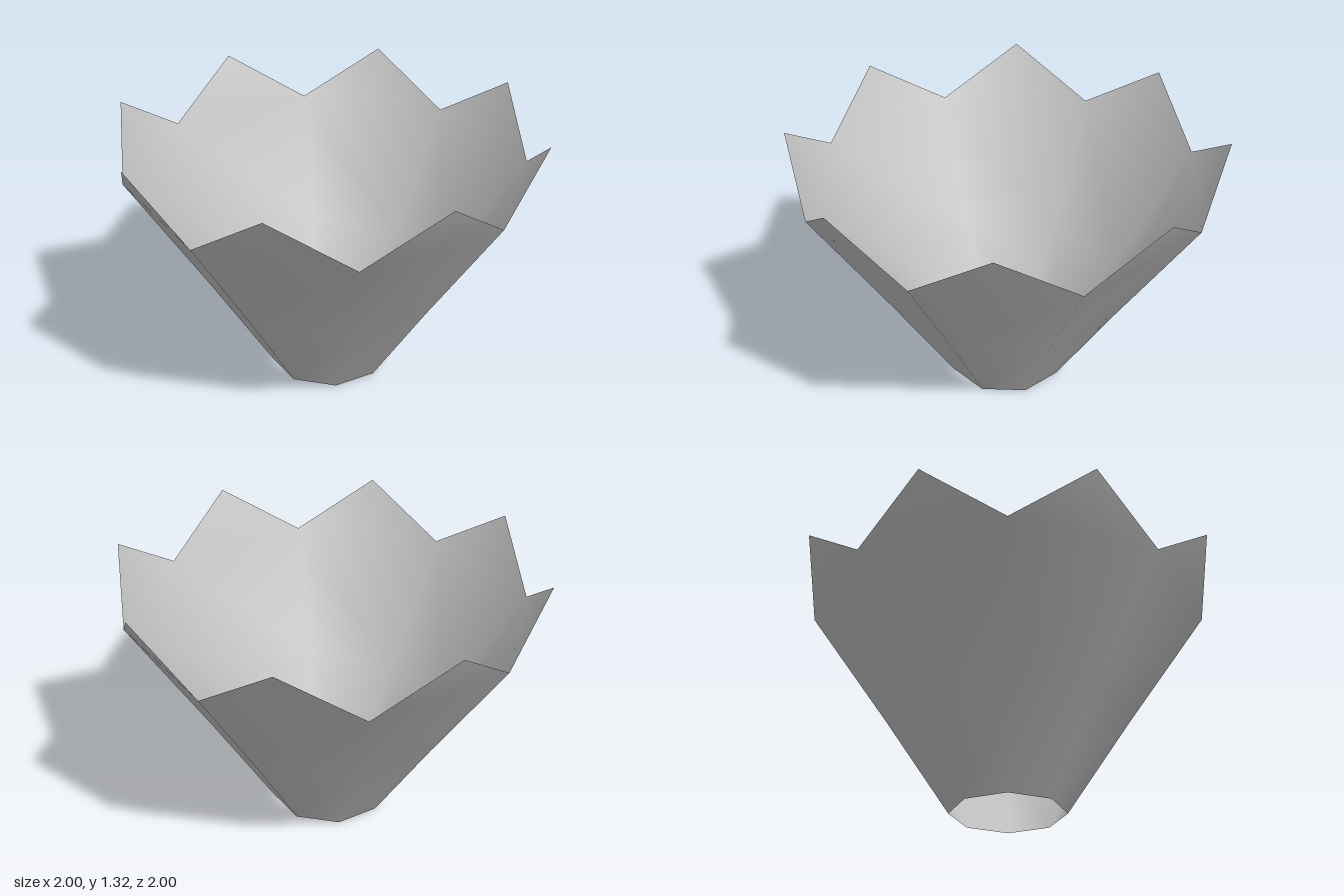
import * as THREE from 'three';

const SIDES = 8;
// Rings of the wall as [radius, height], from the open base to the notches of the rim
const RINGS = [[0.29, 0], [0.605, 0.48], [1, 1.06]];
const PEAK = [1.072, 1.32];

export function createModel() {
  const shellGrey = new THREE.MeshStandardMaterial({ color: 0xbfbfbf, side: THREE.DoubleSide });
  shellGrey.name = 'shellGrey';

  const positions = [];
  const index = [];
  const addRing = ([r, y], turn) => {
    for (let i = 0; i < SIDES; i++) {
      const a = ((i + turn) / SIDES) * Math.PI * 2;
      positions.push(r * Math.sin(a), y, r * Math.cos(a));
    }
  };
  RINGS.forEach((ring) => addRing(ring, 0));
  addRing(PEAK, 0.5);

  const last = RINGS.length - 1;
  for (let i = 0; i < SIDES; i++) {
    const j = (i + 1) % SIDES;
    // Flaring wall panels
    for (let k = 0; k < last; k++) {
      const lo = k * SIDES, hi = lo + SIDES;
      index.push(lo + i, lo + j, hi + j, lo + i, hi + j, hi + i);
    }
    // Pointed tooth on each panel
    const rim = last * SIDES;
    index.push(rim + i, rim + j, rim + SIDES + i);
  }

  const geometry = new THREE.BufferGeometry();
  geometry.setAttribute('position', new THREE.Float32BufferAttribute(positions, 3));
  geometry.setIndex(index);
  geometry.computeVertexNormals();

  const shell = new THREE.Mesh(geometry, shellGrey);
  shell.name = 'zigzagShell';

  const group = new THREE.Group();
  group.name = 'brokenShell';
  group.add(shell);
  return group;
}
